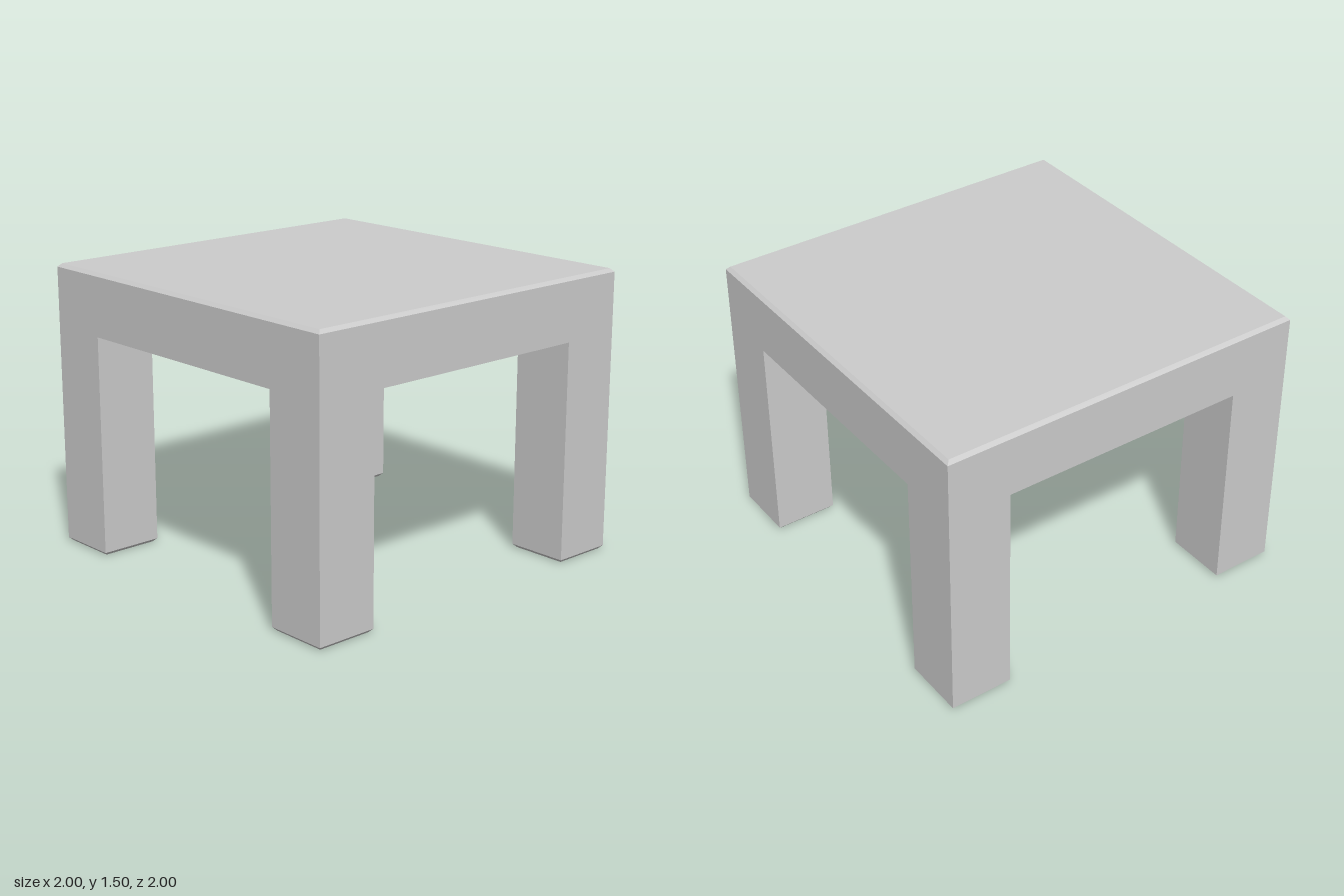
import * as THREE from 'three';

const H = 1.5;         // total height
const LEG = 0.335;     // leg width and apron depth
const INNER = 1 - LEG; // half width between the legs
const APRON = H - LEG + 0.005;  // underside of the apron
const CEILING = H - LEG / 2;    // underside of the top board
const BEVEL = 0.018;

const material = new THREE.MeshStandardMaterial({ color: 0xcccccc, flatShading: true });

// Square solid from a profile of [half width, y] points
function squareLathe(profile) {
  const points = profile.map(([w, y]) => new THREE.Vector2(w * Math.SQRT2, y));
  const geometry = new THREE.LatheGeometry(points, 4, Math.PI / 4).toNonIndexed();
  geometry.computeVertexNormals();
  return geometry;
}

export function createModel() {
  const table = new THREE.Group();
  table.name = 'table';

  function add(name, geometry, x = 0, y = 0, z = 0) {
    const mesh = new THREE.Mesh(geometry, material);
    mesh.name = name;
    mesh.position.set(x, y, z);
    table.add(mesh);
    return mesh;
  }

  // Outer apron walls and bevelled top
  add('tableTop', squareLathe([[1, APRON], [1, H - BEVEL], [1 - BEVEL, H], [0, H]]));

  // Hollow under the top, inside the apron
  add('undersideRecess', squareLathe([[0, CEILING], [INNER, CEILING], [INNER, APRON]]));

  // Apron underside between the legs
  const strip = new THREE.PlaneGeometry(2 * INNER, LEG).rotateX(Math.PI / 2);
  strip.translate(0, 0, 1 - LEG / 2);
  for (let i = 0; i < 4; i++) {
    add('apronUnderside', strip, 0, APRON, 0).rotation.y = i * Math.PI / 2;
  }

  // Four legs with bevelled feet, open where they join the apron
  const half = LEG / 2;
  const leg = squareLathe([[0, 0], [half - BEVEL, 0], [half, BEVEL], [half, APRON]]);
  for (const [side, sx] of [['Left', 1], ['Right', -1]]) {
    for (const [end, sz] of [['front', 1], ['back', -1]]) {
      add(`${end}${side}Leg`, leg, sx * (1 - half), 0, sz * (1 - half));
    }
  }

  return table;
}
